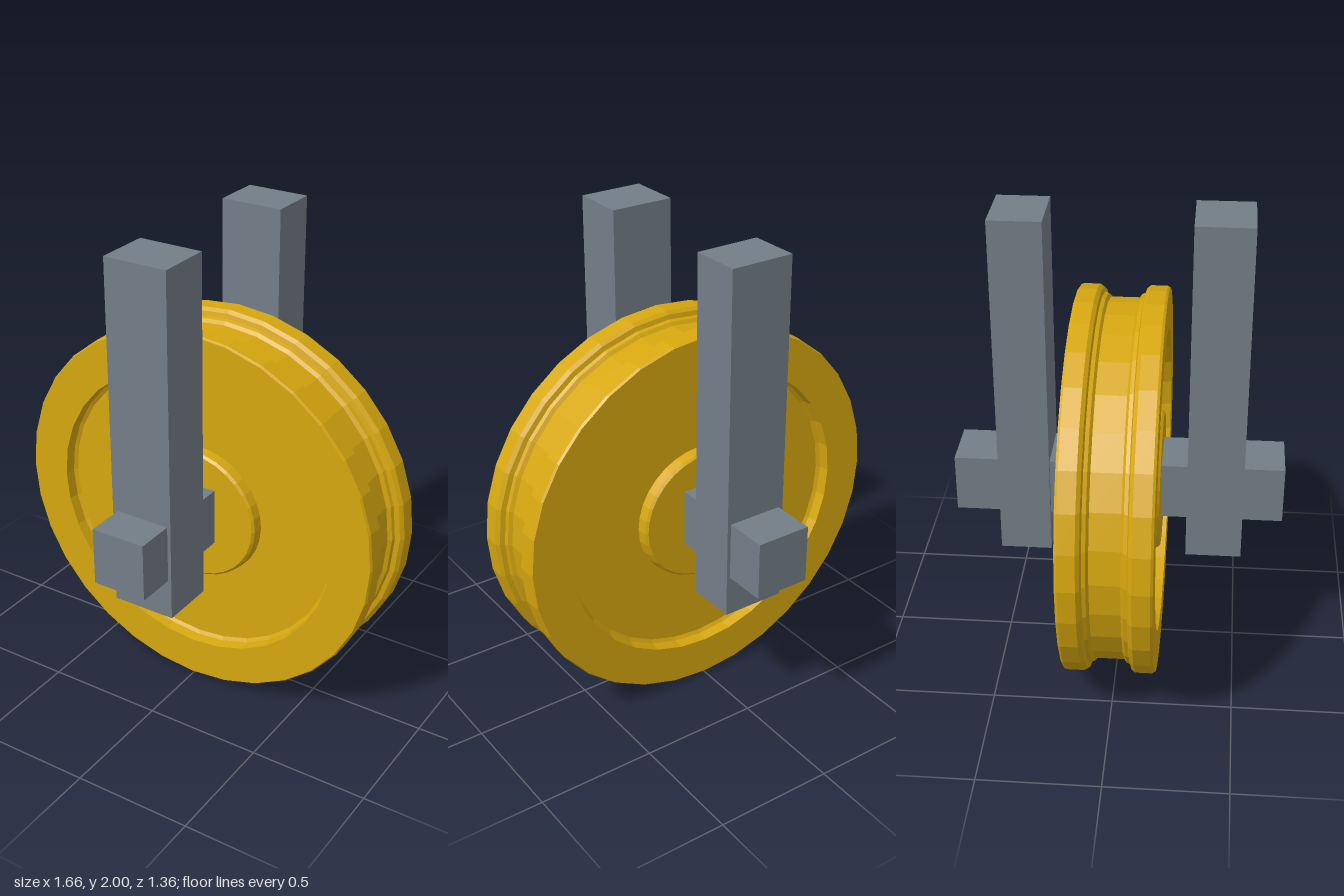
import * as THREE from 'three';

export function createModel() {
  const group = new THREE.Group();
  const yellow = new THREE.MeshStandardMaterial({ color: 0xd6a70f, flatShading: true });
  yellow.name = 'wheel yellow';
  const grey = new THREE.MeshStandardMaterial({ color: 0x737e87, flatShading: true });
  grey.name = 'steel grey';

  // Half profile of the wheel, from the hub centre out to the groove: [radius, z]
  const half = [
    [0, 0.18], [0.285, 0.18], [0.295, 0.17], [0.3, 0.13],
    [0.63, 0.13], [0.645, 0.14], [0.65, 0.185],
    [0.822, 0.185], [0.828, 0.175], [0.828, 0.105], [0.815, 0.09],
    [0.795, 0.085], [0.79, 0.07], [0.775, 0.06],
  ];
  const profile = [
    ...half.map(([r, z]) => new THREE.Vector2(r, -z)),
    ...half.slice().reverse().map(([r, z]) => new THREE.Vector2(r, z)),
  ];
  const wheelGeo = new THREE.LatheGeometry(profile, 32);
  wheelGeo.rotateX(Math.PI / 2);
  wheelGeo.scale(1, 0.972, 1); // slightly squashed in height
  const wheel = new THREE.Mesh(wheelGeo, yellow);
  wheel.name = 'groovedWheel';
  wheel.position.set(-0.003, 0.806, -0.004);
  group.add(wheel);

  // Box given by its lower and upper limits
  function bar(name, [x0, y0, z0], [x1, y1, z1]) {
    const mesh = new THREE.Mesh(new THREE.BoxGeometry(x1 - x0, y1 - y0, z1 - z0), grey);
    mesh.position.set((x0 + x1) / 2, (y0 + y1) / 2, (z0 + z1) / 2);
    mesh.name = name;
    group.add(mesh);
  }

  // Square axle and the two hanging posts
  bar('axle', [-0.13, 0.7, -0.68], [0.105, 0.945, 0.68]);
  bar('frontPost', [-0.153, 0.527, 0.283], [0.12, 2, 0.515]);
  bar('backPost', [-0.15, 0.527, -0.497], [0.12, 2, -0.285]);

  return group;
}
